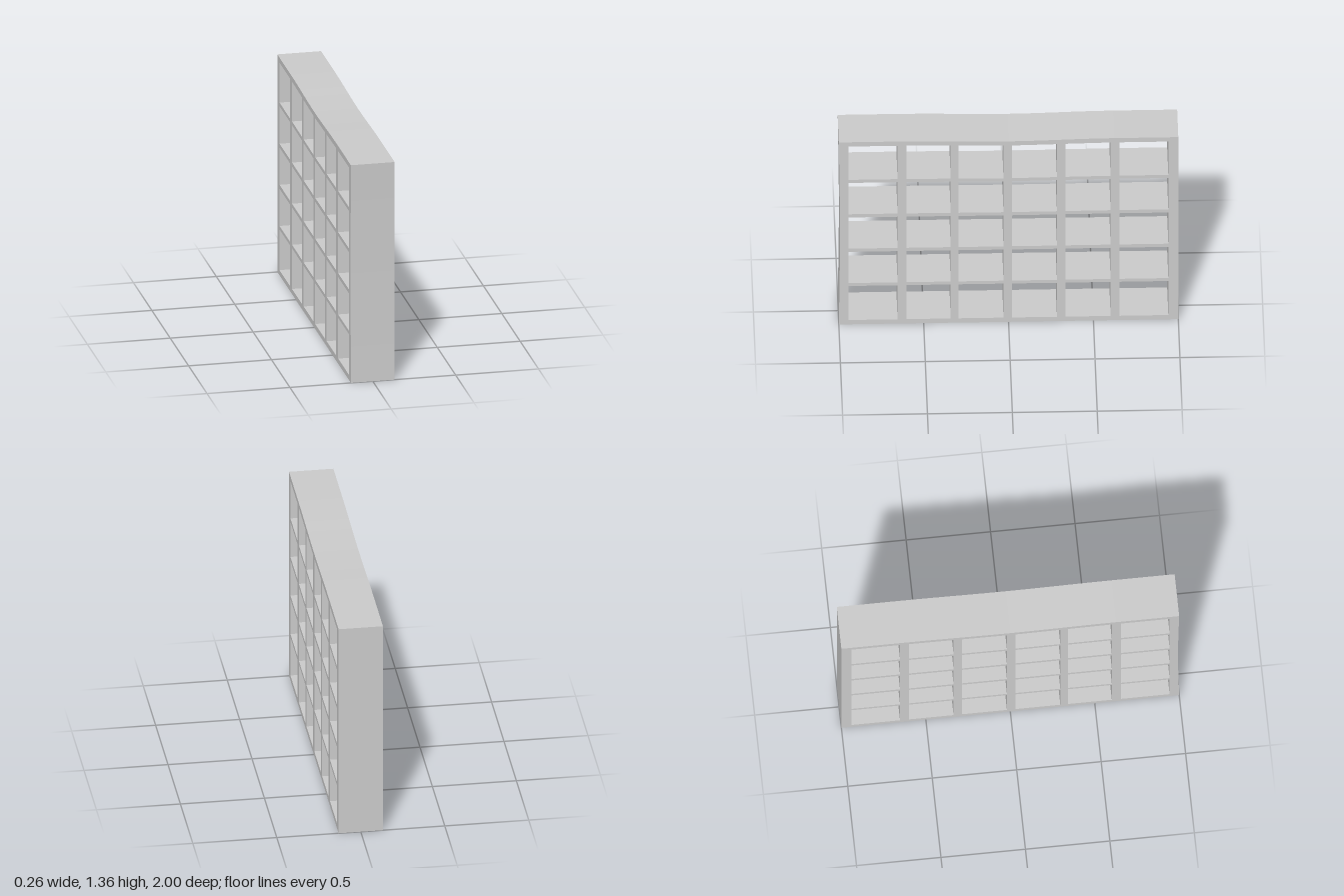
import * as THREE from 'three';

const HEIGHT = 1.36, DEPTH = 0.264;

// Compartment limits: [from, to] along the length (u = -z) and in height
const columns = [
  [-0.943, -0.654], [-0.601, -0.341], [-0.296, -0.03],
  [0.02, 0.285], [0.336, 0.601], [0.653, 0.941],
];
const rows = [
  [0.032, 0.286], [0.308, 0.541], [0.565, 0.798], [0.822, 1.056], [1.079, 1.328],
];

// Slight wear: upper boards sag toward the middle, the +z side bows inward
function warp(u, y) {
  const t = Math.min(Math.abs(u) / 0.62, 1);
  const sag = 0.006 * (1 + Math.cos(Math.PI * t)) * Math.pow(y / HEIGHT, 3);
  const bow = u < -0.96 ? 0.007 * Math.sin(Math.PI * y / HEIGHT) : 0;
  return new THREE.Vector2(u + bow, y - sag);
}

// Points along a straight edge, warped
function edge(u0, y0, u1, y1, steps) {
  const points = [];
  for (let i = 0; i < steps; i++) {
    const t = i / steps;
    points.push(warp(u0 + (u1 - u0) * t, y0 + (y1 - y0) * t));
  }
  return points;
}

export function createModel() {
  const model = new THREE.Group();
  model.name = 'cubbyShelf';

  // Outer outline of the case
  const outline = new THREE.Shape([
    ...edge(-1, 0, 1, 0, 1),
    ...edge(1, 0, 1, HEIGHT, 1),
    ...edge(1, HEIGHT, -1, HEIGHT, 16),
    ...edge(-1, HEIGHT, -1, 0, 6),
  ]);

  // Open compartments, running right through
  for (const [u0, u1] of columns) {
    for (const [y0, y1] of rows) {
      outline.holes.push(new THREE.Path([
        warp(u0, y0), warp(u0, y1), warp(u1, y1), warp(u1, y0),
      ]));
    }
  }

  const geometry = new THREE.ExtrudeGeometry(outline, { depth: DEPTH, bevelEnabled: false });
  geometry.translate(0, 0, -DEPTH / 2);
  geometry.rotateY(Math.PI / 2);

  const shelf = new THREE.Mesh(geometry, new THREE.MeshStandardMaterial({ color: 0xcccccc }));
  shelf.name = 'shelfFrame';
  model.add(shelf);
  return model;
}
